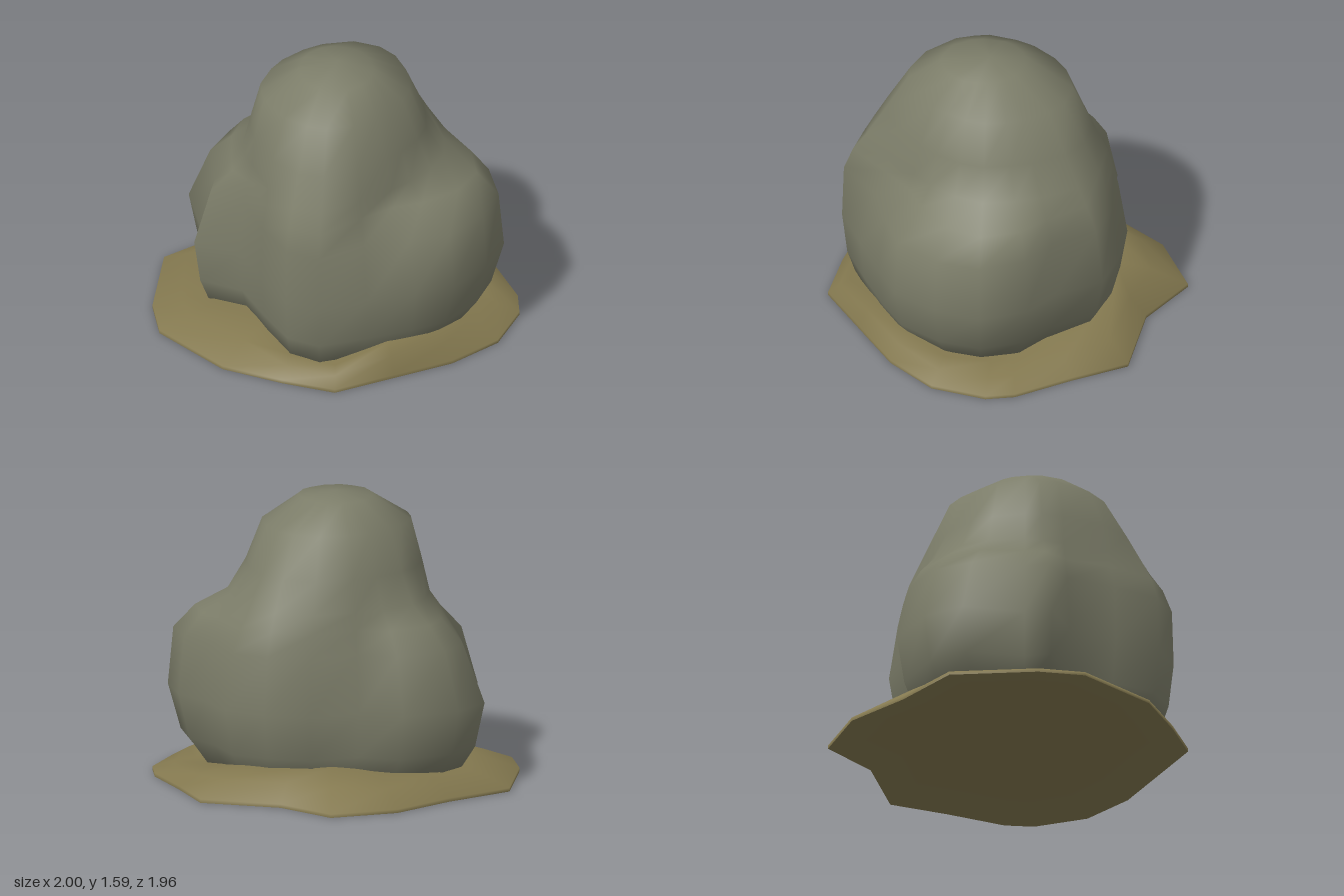
import * as THREE from 'three';
import { mergeVertices } from 'three/addons/utils/BufferGeometryUtils.js';

// Skin a stack of equal-length rings (bottom to top, turning from +x to +z)
function loft(rings) {
  const n = rings[0].length;
  const index = [];
  for (let j = 0; j < rings.length - 1; j++) {
    for (let i = 0; i < n; i++) {
      const a = j * n + i, b = j * n + (i + 1) % n, c = a + n, d = b + n;
      index.push(a, c, b, b, c, d);
    }
  }
  const geometry = new THREE.BufferGeometry();
  geometry.setAttribute('position', new THREE.Float32BufferAttribute(rings.flat(2), 3));
  geometry.setIndex(index);
  const merged = mergeVertices(geometry);
  merged.computeVertexNormals();
  return merged;
}

// Boulder belly, around (0, 0.1): direction in degrees, widest radius, scale at the foot
const BELLY = [
  [0, .92, .78], [16, .89, .80], [34, .85, .80], [49, .77, .86], [70, .74, .90],
  [90, .81, .90], [104, .77, .90], [124, .63, .90], [151, .58, .90], [165, .79, .88],
  [176, .75, .88], [198, .90, .82], [214, .89, .84], [236, .81, .84], [252, .65, .90],
  [274, .76, .85], [293, .79, .84], [309, .84, .82], [329, .78, .82], [343, .87, .80],
];

// Boulder shoulders and crown: height, then radius in each of the same directions
const CROWN = [
  [0.80, [.89, .87, .82, .72, .66, .80, .76, .62, .55, .70,
    .67, .77, .79, .74, .60, .71, .75, .79, .74, .84]],
  [0.93, [.77, .72, .62, .55, .59, .75, .72, .59, .52, .58,
    .58, .64, .68, .66, .58, .68, .71, .72, .68, .74]],
  [1.03, [.59, .56, .53, .53, .57, .68, .67, .57, .50, .51,
    .52, .54, .56, .57, .57, .65, .67, .66, .61, .59]],
  [1.20, [.49, .48, .47, .48, .52, .58, .58, .54, .49, .48,
    .48, .48, .48, .49, .51, .57, .58, .56, .51, .49]],
  [1.43, [.40, .39, .38, .39, .42, .45, .45, .44, .43, .42,
    .42, .40, .40, .41, .43, .46, .46, .44, .41, .40]],
  [1.56, [.20, .21, .23, .24, .26, .27, .26, .25, .22, .21,
    .20, .20, .20, .20, .20, .19, .19, .19, .19, .19]],
];

function buildBoulder() {
  const ring = (y, radius) => BELLY.map(([deg, r, foot], i) => {
    const t = THREE.MathUtils.degToRad(deg);
    const k = radius(r, foot, i);
    return [k * Math.cos(t), y, 0.1 + k * Math.sin(t)];
  });
  return loft([
    ring(0.07, () => 0),
    ring(0.07, (r, foot) => r * foot),
    ring(0.23, (r, foot) => r * (0.65 + 0.35 * foot)),
    ring(0.48, (r) => r),
    ...CROWN.map(([y, radii]) => ring(y, (r, foot, i) => radii[i])),
    ring(1.59, () => 0),
  ]);
}

// Soil skirt: outline x, z, then inward scale and height where it meets the boulder
const SOIL = [
  [-.10, -.98, .60, .19], [.20, -.77, .77, .18], [.65, -.70, .70, .17], [.80, -.40, .78, .12],
  [.97, -.10, .76, .08], [1.0, .06, .76, .08], [.92, .36, .82, .10], [.70, .60, .88, .16],
  [.40, .79, .90, .18], [.10, .98, .87, .10], [-.20, .92, .86, .11], [-.54, .82, .62, .14],
  [-.93, .50, .68, .12], [-1.0, .25, .70, .11], [-1.0, -.24, .74, .11], [-.70, -.52, .82, .13],
  [-.45, -.82, .70, .16],
];

const soilRing = (fn) => SOIL.map(([x, z, s, h]) => {
  const [k, y] = fn(s, h);
  return [x * k, y, z * k];
});

export function createModel() {
  const group = new THREE.Group();
  const stone = new THREE.MeshStandardMaterial({ color: 0x7c7d69 });
  stone.name = 'stone';
  const soil = new THREE.MeshStandardMaterial({ color: 0x83784f });
  soil.name = 'soil';
  const add = (name, geometry, material) => {
    const mesh = new THREE.Mesh(geometry, material);
    mesh.name = name;
    group.add(mesh);
  };

  add('boulder', buildBoulder(), stone);

  // Sloping upper face of the soil
  add('soilTop', loft([
    soilRing(() => [1, 0]),
    soilRing(() => [1, 0.02]),
    soilRing((s, h) => [(1 + s) / 2, 0.01 + h * 0.6]),
    soilRing((s, h) => [s, h]),
    soilRing(() => [0, 0.12]),
  ]), soil);

  // Hollow underside: sloping lip around a flat ceiling
  add('soilUnderside', loft([
    soilRing(() => [0, 0.06]),
    soilRing(() => [0.74, 0.06]),
    soilRing(() => [0.8, 0.05]),
    soilRing(() => [1, 0]),
  ]), soil);

  return group;
}
